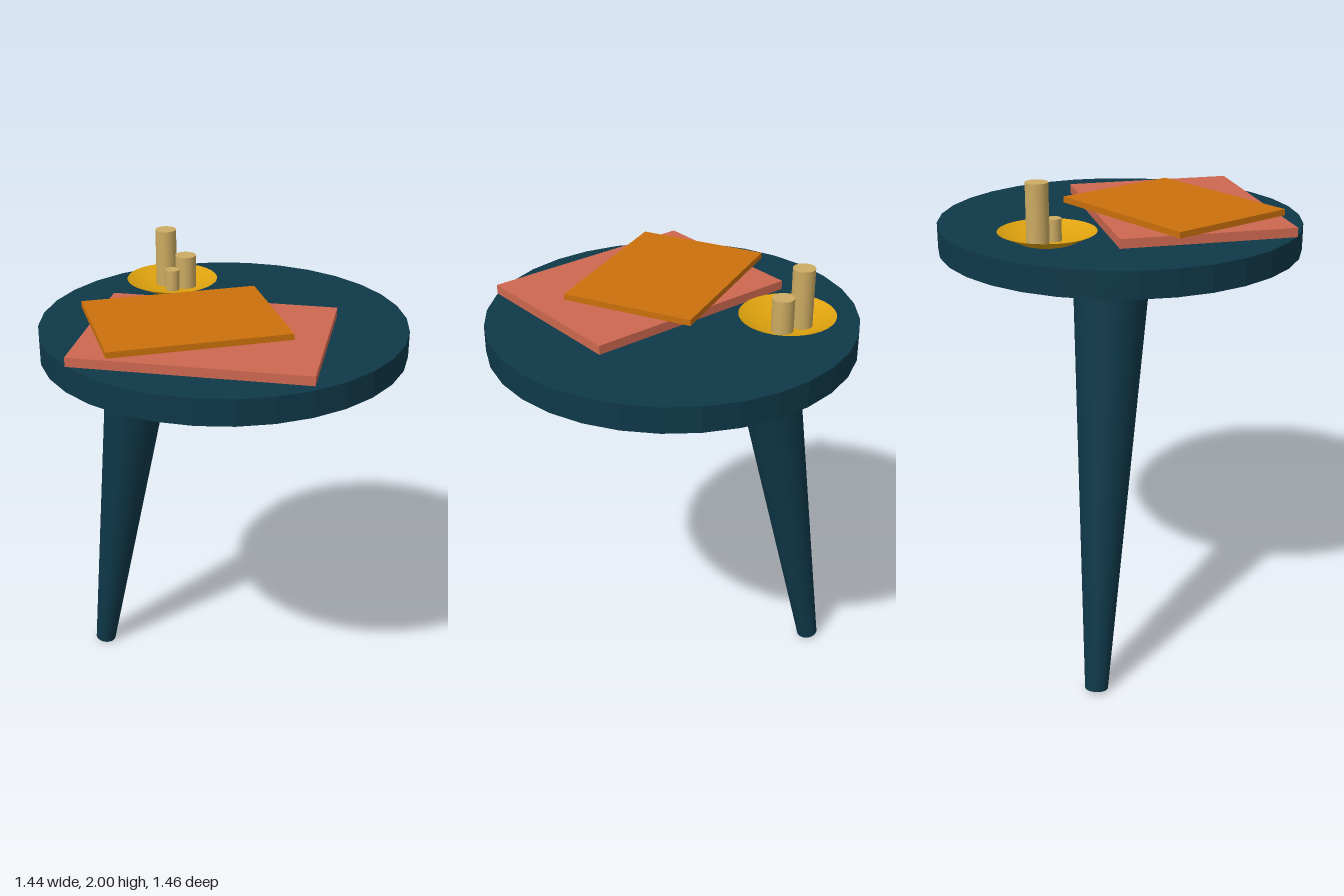
import * as THREE from 'three';

const mat = (name, color, side = THREE.FrontSide) => {
  const m = new THREE.MeshStandardMaterial({ color, side });
  m.name = name;
  return m;
};

export function createModel() {
  const group = new THREE.Group();
  const teal = mat('dark teal', 0x0f3849);
  const coral = mat('coral', 0xcd6850);
  const orange = mat('orange', 0xcb700c);
  const gold = mat('gold', 0xdea20e, THREE.DoubleSide);
  const wax = mat('wax', 0xccab62);

  const add = (name, geometry, material, x, y, z) => {
    const mesh = new THREE.Mesh(geometry, material);
    mesh.name = name;
    mesh.position.set(x, y, z);
    group.add(mesh);
    return mesh;
  };

  // Faceted round top, turned half a step so flats face the axes
  const topGeo = new THREE.CylinderGeometry(0.723, 0.723, 0.104, 32).toNonIndexed();
  topGeo.computeVertexNormals();
  add('tableTop', topGeo, teal, 0, 1.711, -0.01).rotation.y = Math.PI / 32;

  // Single splayed, tapered leg
  const foot = new THREE.Vector3(-0.65, 0.008, 0.165);
  const hip = new THREE.Vector3(-0.352, 1.7, 0.109);
  const axis = hip.clone().sub(foot);
  const mid = foot.clone().add(hip).multiplyScalar(0.5);
  const leg = add('leg', new THREE.CylinderGeometry(0.148, 0.046, axis.length(), 32), teal, mid.x, mid.y, mid.z);
  leg.quaternion.setFromUnitVectors(new THREE.Vector3(0, 1, 0), axis.normalize());

  // Two stacked books, each turned its own way
  add('lowerBook', new THREE.BoxGeometry(0.904, 0.036, 0.683), coral, 0.12, 1.793, 0.185).rotation.y = 0.64;
  add('upperBook', new THREE.BoxGeometry(0.535, 0.024, 0.7), orange, 0.015, 1.832, 0.205).rotation.y = -0.486;

  // Shallow flared dish
  const dishProfile = [[0, 0], [0.105, 0], [0.187, 0.04]].map(([r, y]) => new THREE.Vector2(r, y));
  add('dish', new THREE.LatheGeometry(dishProfile, 32), gold, -0.433, 1.768, -0.117);

  // Three candles standing in the dish: x, z, radius, top height
  const candles = [
    [-0.485, -0.13, 0.043, 2.0],
    [-0.408, -0.17, 0.043, 1.9],
    [-0.412, -0.1, 0.029, 1.853],
  ];
  candles.forEach(([x, z, r, top], i) => {
    const h = top - 1.768;
    add(`candle${i + 1}`, new THREE.CylinderGeometry(r, r, h, 32), wax, x, top - h / 2, z);
  });

  return group;
}
